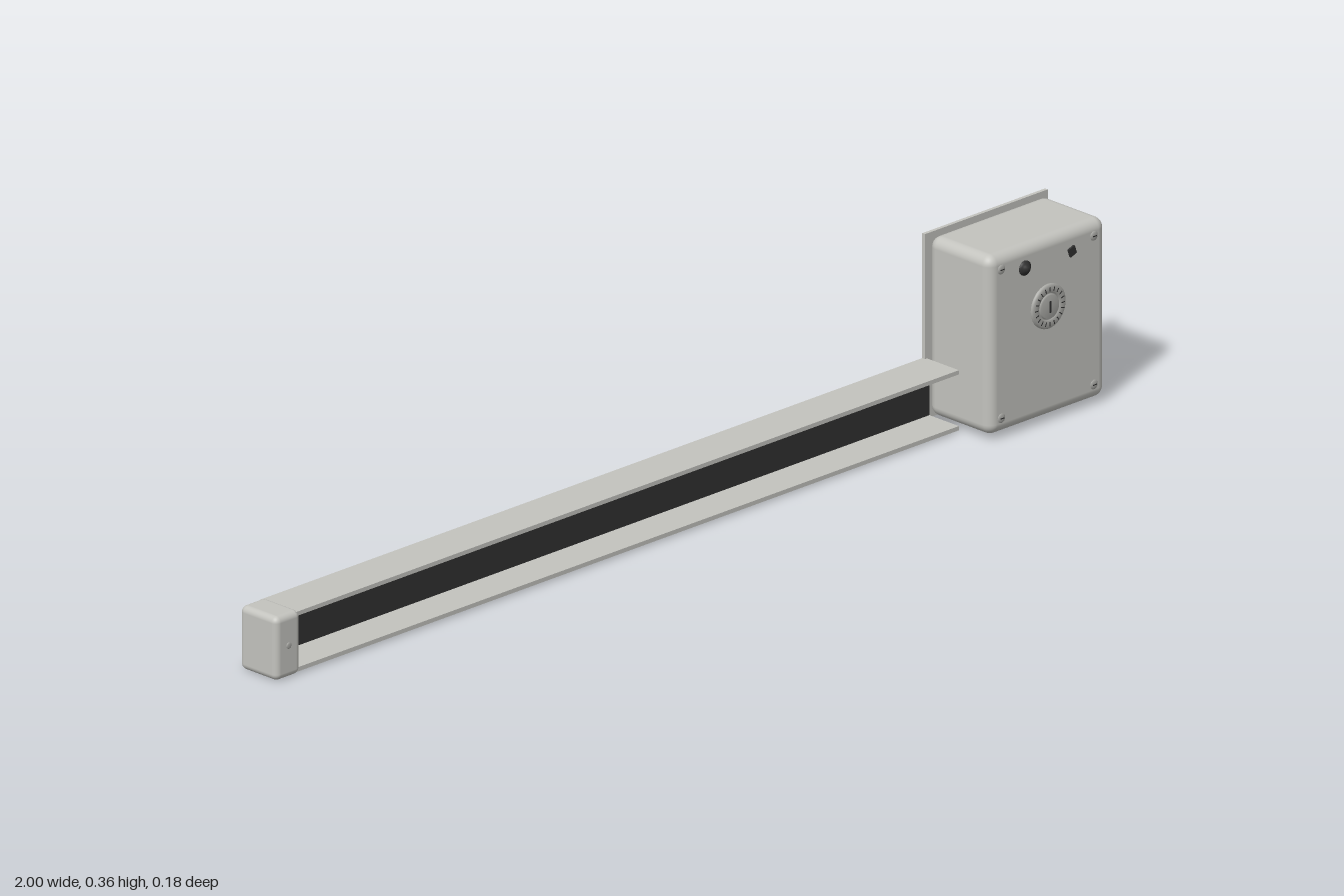
import * as THREE from 'three';
import { RoundedBoxGeometry } from 'three/addons/geometries/RoundedBoxGeometry.js';

const mat = (name, color) => Object.assign(new THREE.MeshStandardMaterial({ color }), { name });

export function createModel() {
  const group = new THREE.Group();
  const shell = mat('light grey', 0xc3c3be);
  const trim = mat('dial grey', 0xa9a9a5);
  const dark = mat('charcoal', 0x303030);

  const add = (name, geometry, material, x, y, z, parent = group) => {
    const mesh = new THREE.Mesh(geometry, material);
    mesh.name = name;
    mesh.position.set(x, y, z);
    parent.add(mesh);
    return mesh;
  };
  // box given by its min and max corners, optionally rounded
  const block = (name, material, [x0, y0, z0], [x1, y1, z1], r = 0) => {
    const s = [x1 - x0, y1 - y0, z1 - z0];
    const g = r ? new RoundedBoxGeometry(...s, 4, r) : new THREE.BoxGeometry(...s);
    return add(name, g, material, (x0 + x1) / 2, (y0 + y1) / 2, (z0 + z1) / 2);
  };
  // turned part facing +z, profile of [radius, height]
  const turned = (name, material, profile, x, y, z, sides = 32) => {
    const g = new THREE.LatheGeometry(profile.map(p => new THREE.Vector2(...p)), sides);
    g.rotateX(Math.PI / 2);
    return add(name, g, material, x, y, z);
  };

  // long U-shaped rail, open to the front
  const u = new THREE.Shape();
  const backZ = -0.086, lipZ = 0.001, low = 0.004, high = 0.118, t = 0.008;
  [[backZ, low], [lipZ, low], [lipZ, low + t], [backZ + t, low + t],
    [backZ + t, high - t], [lipZ, high - t], [lipZ, high], [backZ, high]]
    .forEach(([z, y], i) => (i ? u.lineTo(-z, y) : u.moveTo(-z, y)));
  const rail = new THREE.ExtrudeGeometry(u, { depth: 1.65, bevelEnabled: false });
  rail.rotateY(Math.PI / 2);
  add('rail', rail, shell, -0.95, 0, 0);
  block('railInsert', dark, [-0.94, low + t, backZ + t], [0.70, high - t, backZ + t + 0.005]);

  // end cap with its screw
  block('endCap', shell, [-1, 0, -0.088], [-0.938, 0.121, 0.005], 0.012);
  turned('endCapScrew', trim, [[0.006, 0], [0.006, 0.001], [0.004, 0.002], [0, 0.002]], -0.969, 0.062, 0.005, 16);

  // mounting plate and housing
  block('backPlate', shell, [0.695, 0.004, -0.086], [1, 0.355, -0.079]);
  block('housing', shell, [0.701, 0.01, -0.079], [0.992, 0.35, 0.077], 0.02);

  // corner screws
  for (const x of [0.73, 0.96]) for (const y of [0.04, 0.322]) {
    turned('cornerScrew', trim, [[0.009, 0], [0.009, 0.001], [0.006, 0.003], [0, 0.003]], x, y, 0.0765, 16);
    block('screwSlot', dark, [x - 0.005, y - 0.001, 0.079], [x + 0.005, y + 0.001, 0.0798]);
  }

  // lock dial: outer ring, ticks, raised core and key slot
  const dx = 0.845, dy = 0.221, face = 0.077;
  turned('dial', trim, [[0.042, -0.001], [0.042, 0.003], [0.038, 0.006], [0.027, 0.006], [0.026, 0.003],
    [0.023, 0.003], [0.022, 0.007], [0, 0.007]], dx, dy, face, 40);
  for (let i = 0; i < 20; i++) {
    const a = i / 20 * Math.PI * 2;
    const tick = add('dialTick', new THREE.BoxGeometry(0.008, 0.0018, 0.001), dark,
      dx + Math.cos(a) * 0.033, dy + Math.sin(a) * 0.033, face + 0.006);
    tick.rotation.z = a;
  }
  block('keySlot', dark, [dx - 0.002, dy - 0.011, face + 0.0065], [dx + 0.002, dy + 0.011, face + 0.0075]);

  // pointed button and small square indicator
  turned('button', dark, [[0.014, -0.001], [0.014, 0.002], [0.011, 0.004], [0.008, 0.007],
    [0.004, 0.011], [0, 0.011]], 0.788, 0.309, face, 24);
  const lamp = block('indicator', dark, [0.896, 0.301, face - 0.001], [0.912, 0.317, face + 0.004]);
  lamp.rotation.z = 0.35;

  return group;
}
